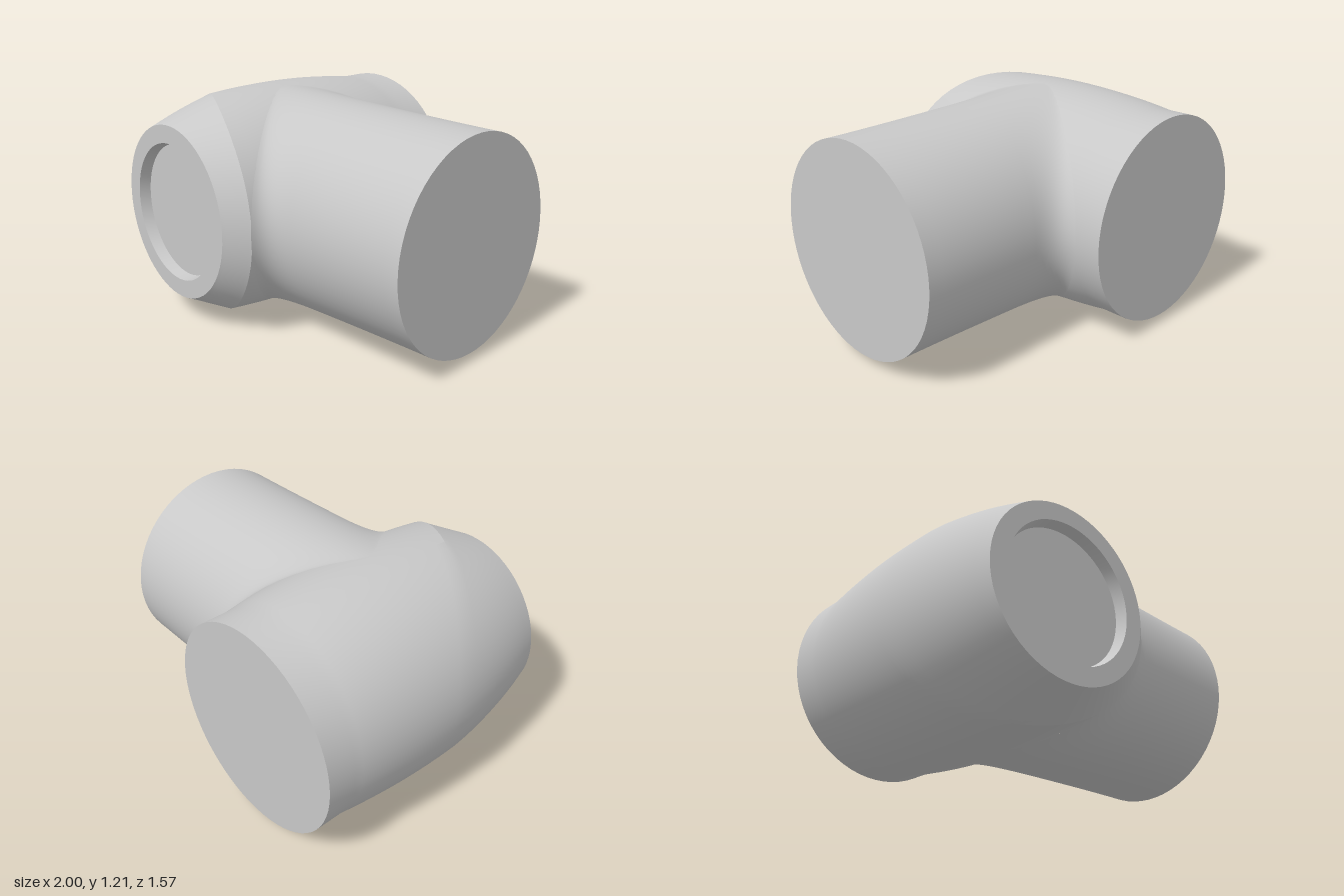
import * as THREE from 'three';
import { toCreasedNormals } from 'three/addons/utils/BufferGeometryUtils.js';

const SIDES = 64;
const AX = -0.397;  // x of the barrel axis
const AY = 0.605;   // height of both axes
const BZ = 0.028;   // z of the branch axis
const END_R = 0.557;

// Skin a list of rings; each ring is a function of angle returning [x, y, z].
function loft(rings) {
  const pos = [], index = [];
  for (const ring of rings) {
    for (let j = 0; j < SIDES; j++) pos.push(...ring((j / SIDES) * Math.PI * 2));
  }
  for (let i = 0; i < rings.length - 1; i++) {
    for (let j = 0; j < SIDES; j++) {
      const k = (j + 1) % SIDES;
      const a = i * SIDES + j, b = i * SIDES + k;
      index.push(a, b, b + SIDES, a, b + SIDES, a + SIDES);
    }
  }
  const geo = new THREE.BufferGeometry();
  geo.setAttribute('position', new THREE.Float32BufferAttribute(pos, 3));
  geo.setIndex(index);
  return toCreasedNormals(geo, 0.28);
}

// Barrel radius: straight at the back, gently bulged in the middle
const barrelR = (z) => (z <= -0.63 ? END_R : 0.604 - 0.047 * ((z - 0.02) / 0.65) ** 2);
const barrelPoint = (a, z) => [AX + barrelR(z) * Math.cos(a), AY + barrelR(z) * Math.sin(a), z];

// Slanted edge where the barrel begins to taper
const creaseZ = (a) => 0.47 + 0.325 * Math.cos(a) - 0.105 * Math.cos(a) ** 2;

// Circle on the tilted front face, sunk by depth
function facePoint(a, r, depth = 0) {
  const c = r * Math.cos(a);
  return [-0.4275 + c * 0.996 + depth * 0.086, AY + r * Math.sin(a), 0.74 + c * 0.086 - depth * 0.996];
}

function barrelGeometry() {
  const rings = [() => [AX, AY, -0.785], (a) => barrelPoint(a, -0.785)];
  for (let i = 0; i <= 16; i++) {
    rings.push((a) => barrelPoint(a, THREE.MathUtils.lerp(-0.63, creaseZ(a), i / 16)));
  }
  // Taper to the front rim, slightly rounded on the outer side
  for (let i = 1; i <= 8; i++) {
    const s = i / 8;
    rings.push((a) => {
      const p = barrelPoint(a, creaseZ(a)), q = facePoint(a, 0.468);
      const bulge = 0.08 * s * (1 - s) * Math.max(0, -Math.cos(a));
      return [
        THREE.MathUtils.lerp(p[0], q[0], s) + bulge * Math.cos(a),
        THREE.MathUtils.lerp(p[1], q[1], s) + bulge * Math.sin(a),
        THREE.MathUtils.lerp(p[2], q[2], s),
      ];
    });
  }
  // Flat rim, recess wall and recess floor
  rings.push((a) => facePoint(a, 0.371), (a) => facePoint(a, 0.357, 0.06), (a) => facePoint(a, 0, 0.06));
  return loft(rings);
}

// Branch section: constant width, a little taller toward the barrel
function branchPoint(a, x) {
  const t = Math.min(1, Math.max(0, (x - AX) / (1 - AX)));
  const h = END_R + 0.046 * (1 - t) ** 1.5;
  return [x, AY + h * Math.cos(a), BZ + END_R * Math.sin(a)];
}

// x of the barrel surface at a given height and z
const barrelX = (y, z) => AX + Math.sqrt(Math.max(0, barrelR(z) ** 2 - (y - AY) ** 2));

// Three control points of the fillet at one angle around the branch
function filletControls(a) {
  let x = 0;
  for (let i = 0; i < 30; i++) {
    const p = branchPoint(a, x);
    x = (x + barrelX(p[1], p[2])) / 2;
  }
  const corner = branchPoint(a, x);
  const z = corner[2] + 0.11 * Math.sin(a);
  const onBarrel = [barrelX(corner[1], z), corner[1], z];
  const onBranch = branchPoint(a, x + 0.15 + 0.2 * Math.cos(a) ** 2);
  return [onBarrel, corner, onBranch];
}

function branchGeometry() {
  const rings = [];
  for (let i = 0; i <= 10; i++) {
    const s = i / 10;
    rings.push((a) => {
      const [p, q, r] = filletControls(a);
      return p.map((v, k) => v * (1 - s) ** 2 + 2 * q[k] * s * (1 - s) + r[k] * s * s);
    });
  }
  for (let i = 1; i <= 8; i++) {
    rings.push((a) => branchPoint(a, THREE.MathUtils.lerp(filletControls(a)[2][0], 1, i / 8)));
  }
  rings.push(() => [1, AY, BZ]);
  return loft(rings);
}

export function createModel() {
  const group = new THREE.Group();
  group.name = 'teeFitting';
  const grey = new THREE.MeshStandardMaterial({ color: 0xc8c8c8 });
  grey.name = 'light grey';

  const barrel = new THREE.Mesh(barrelGeometry(), grey);
  barrel.name = 'barrel';
  const branch = new THREE.Mesh(branchGeometry(), grey);
  branch.name = 'sideBranch';
  group.add(barrel, branch);
  return group;
}
